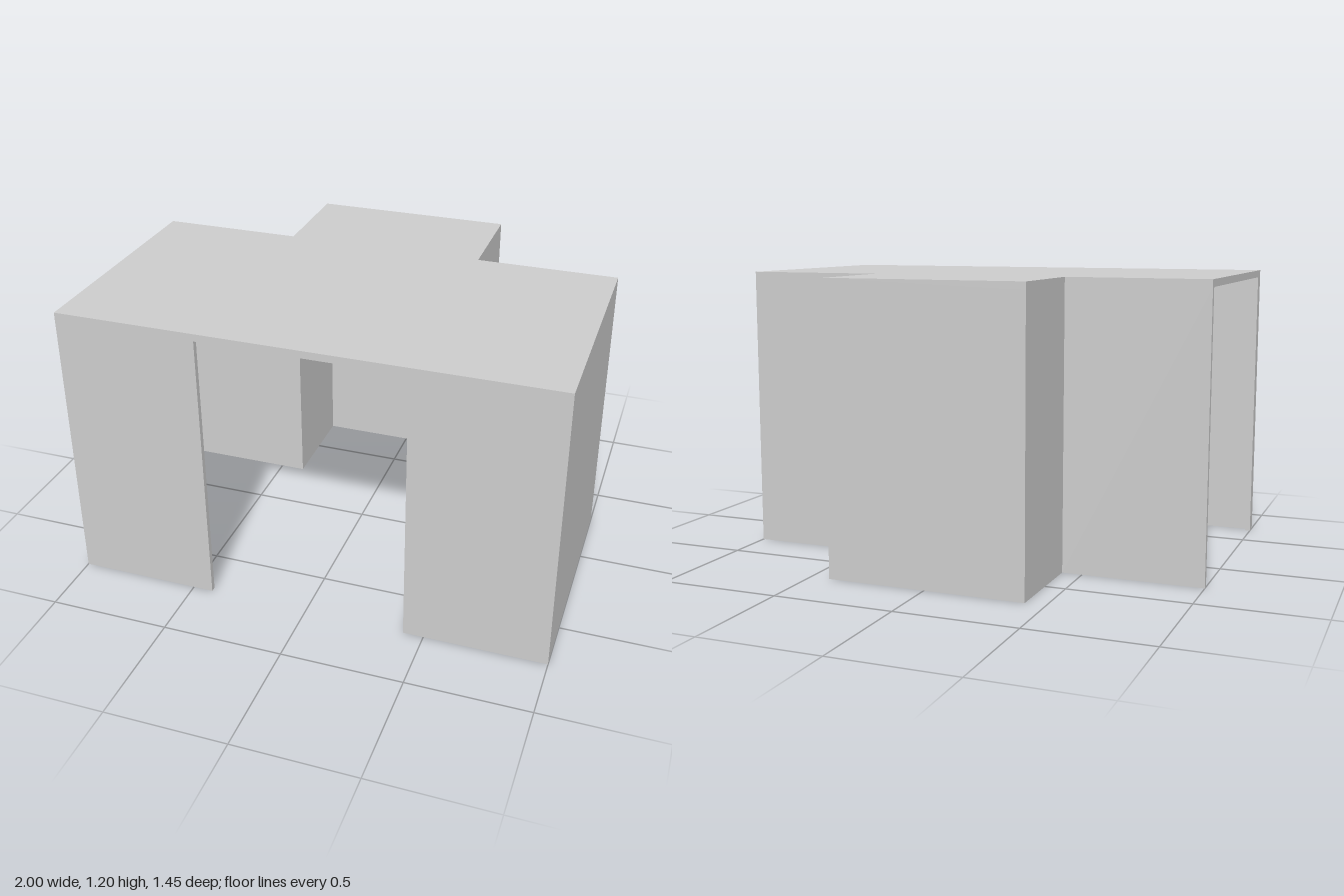
import * as THREE from 'three';

const HEIGHT = 1.195, ROOF = 0.03, WALL = 0.022;
const X = 1, BAY = 0.416, FRONT = 0.727, BACK = -0.293, BAY_BACK = -0.727;

export function createModel() {
  const model = new THREE.Group();
  const material = new THREE.MeshStandardMaterial({ color: 0xcccccc, flatShading: true });

  // Upright panel filling a rectangle of the floor plan, from the ground to the roof
  const wall = (name, x0, x1, z0, z1) => {
    const h = HEIGHT - ROOF;
    const mesh = new THREE.Mesh(new THREE.BoxGeometry(x1 - x0, h, z1 - z0), material);
    mesh.position.set((x0 + x1) / 2, h / 2, (z0 + z1) / 2);
    mesh.name = name;
    model.add(mesh);
  };

  // T-shaped flat roof: plan drawn with y = -z, then laid flat
  const plan = [
    [-X, FRONT], [X, FRONT], [X, BACK], [BAY, BACK],
    [BAY, BAY_BACK], [-BAY, BAY_BACK], [-BAY, BACK], [-X, BACK],
  ].map(([x, z]) => new THREE.Vector2(x, -z));
  const roofGeometry = new THREE.ExtrudeGeometry(new THREE.Shape(plan), { depth: ROOF, bevelEnabled: false });
  roofGeometry.rotateX(-Math.PI / 2).translate(0, HEIGHT - ROOF, 0);
  const roof = new THREE.Mesh(roofGeometry, material);
  roof.name = 'roof';
  model.add(roof);

  // Front panels beside the doorway, back panels beside the bay, and the bay sides
  for (const [side, s] of [['left', 1], ['right', -1]]) {
    const span = (a, b) => (s > 0 ? [a, b] : [-b, -a]);
    wall(side + 'FrontPanel', ...span(BAY, X), FRONT - WALL, FRONT);
    wall(side + 'BackPanel', ...span(BAY, X), BACK, BACK + WALL);
    wall(side + 'BaySide', ...span(BAY - WALL, BAY), BAY_BACK + WALL, BACK + WALL);
  }
  wall('bayBack', -BAY, BAY, BAY_BACK, BAY_BACK + WALL);

  // One end is closed, the other is open with a narrow jamb at the front corner
  wall('endWall', X - WALL, X, BACK + WALL, FRONT - WALL);
  wall('openEndJamb', -X, -X + WALL, FRONT - 0.05, FRONT - WALL);

  return model;
}
